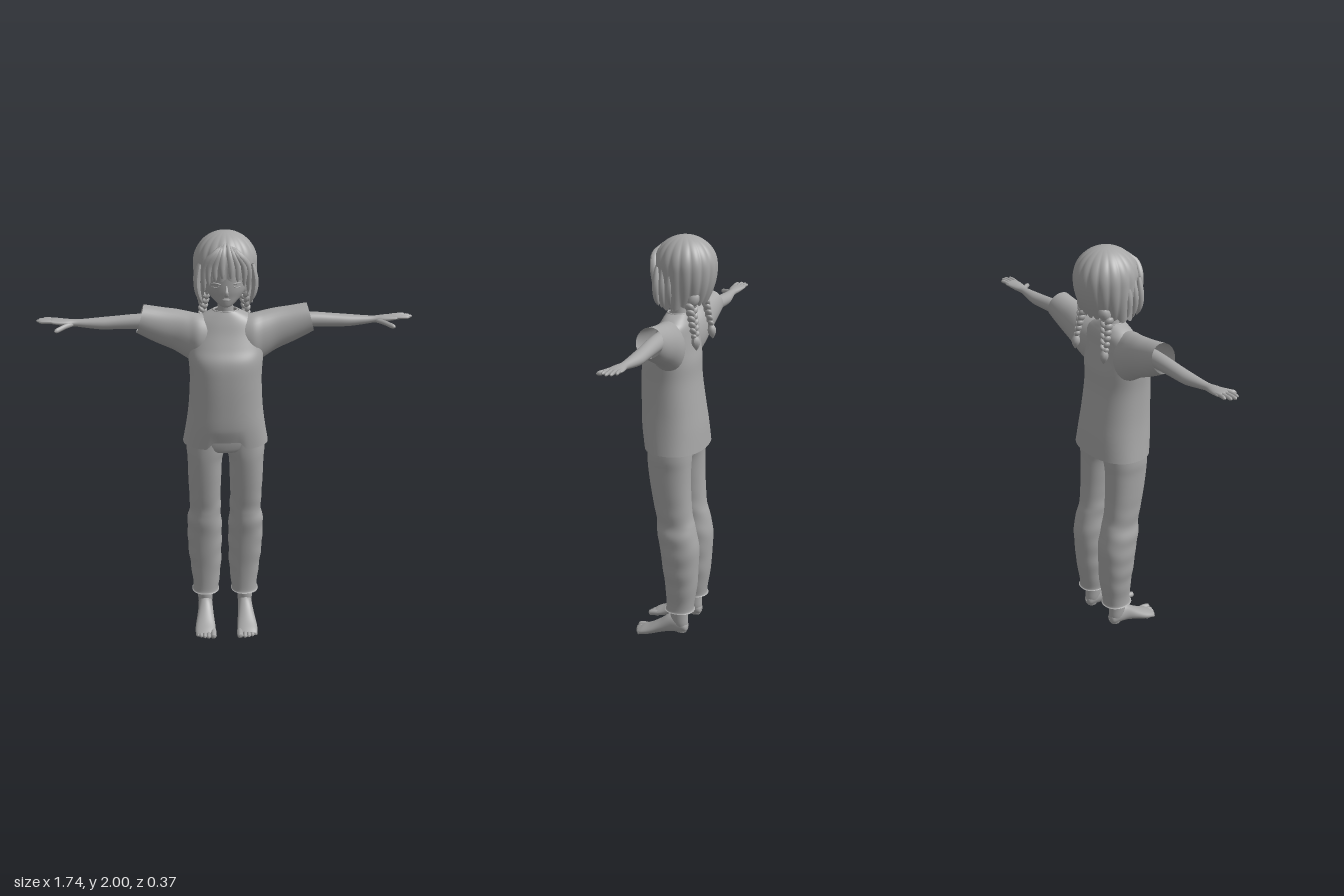
import * as THREE from 'three';

const grey = new THREE.MeshStandardMaterial({ color: 0xa6a6a6, side: THREE.DoubleSide });
grey.name = 'grey';

const V = (p) => new THREE.Vector3(...p);
const smooth = THREE.MathUtils.smoothstep;

function mesh(name, geometry, parent) {
  const m = new THREE.Mesh(geometry, grey);
  m.name = name;
  parent.add(m);
  return m;
}

// Smooth interpolation through rows of numbers
function sample(rows, t) {
  const f = t * (rows.length - 1), i = Math.min(Math.floor(f), rows.length - 2), k = f - i;
  const [p, a, b, q] = [rows[Math.max(i - 1, 0)], rows[i], rows[i + 1], rows[Math.min(i + 2, rows.length - 1)]];
  return a.map((v, c) => {
    const m0 = (b[c] - p[c]) / 2, m1 = (q[c] - v) / 2, d = b[c] - v;
    return v + k * (m0 + k * (3 * d - 2 * m0 - m1 + k * (m0 + m1 - 2 * d)));
  });
}

// Grid of points closed around j, open along i
function surface(n, seg, point) {
  const pos = [], idx = [];
  for (let i = 0; i <= n; i++) for (let j = 0; j < seg; j++) {
    pos.push(...point(i / n, (j / seg) * Math.PI * 2));
    if (i === n) continue;
    const a = i * seg + j, b = i * seg + (j + 1) % seg;
    idx.push(a, b, b + seg, a, b + seg, a + seg);
  }
  const g = new THREE.BufferGeometry();
  g.setAttribute('position', new THREE.Float32BufferAttribute(pos, 3));
  g.setIndex(idx);
  g.computeVertexNormals();
  return g;
}

// Rows by axis: y [y,cx,cz,rx,rz], x [x,cz,cy,rz,ry], z [z,cy,cx,ry,rx]
function loft(rows, { axis = 'y', seg = 32, power = 2, steps = 6, warp } = {}) {
  const e = 2 / power, pw = (v) => Math.sign(v) * Math.abs(v) ** e;
  return surface((rows.length - 1) * steps, seg, (t, a) => {
    const [h, cu, cw, ru, rw] = sample(rows, t);
    const u = cu + Math.max(ru, 0) * pw(Math.sin(a)), w = cw + Math.max(rw, 0) * pw(Math.cos(a));
    const p = axis === 'y' ? [u, h, w] : axis === 'x' ? [h, w, u] : [w, u, h];
    return warp ? warp(p) : p;
  });
}

// Tube along points with a radius that varies along its length
function taper(points, radius, n = 16, seg = 10) {
  const curve = new THREE.CatmullRomCurve3(points.map(V));
  const g = new THREE.TubeGeometry(curve, n, 1, seg);
  const p = g.attributes.position, v = new THREE.Vector3();
  for (let i = 0; i < p.count; i++) {
    const t = Math.floor(i / (seg + 1)) / n, c = curve.getPointAt(t);
    v.fromBufferAttribute(p, i).sub(c).multiplyScalar(radius(t)).add(c);
    p.setXYZ(i, v.x, v.y, v.z);
  }
  g.computeVertexNormals();
  return g;
}
const lock = (r) => (t) => r * Math.sqrt(Math.max(0.002, Math.sin(Math.PI * (0.06 + 0.94 * t))));
const finger = (r) => (t) => r * (t > 0.8 ? Math.sqrt(Math.max(0.001, 1 - ((t - 0.8) / 0.2) ** 2)) : 1);

function ball(name, parent, at, size) {
  const m = mesh(name, new THREE.SphereGeometry(1, 16, 12), parent);
  m.position.set(...at);
  m.scale.set(...size);
  return m;
}

function addHead(g) {
  mesh('face', loft([
    [1.672, 0, 0.068, 0.004, 0.004], [1.678, 0, 0.055, 0.025, 0.028], [1.695, 0, 0.03, 0.05, 0.058],
    [1.72, 0, 0.01, 0.075, 0.081], [1.75, 0, 0, 0.093, 0.096], [1.79, 0, -0.01, 0.102, 0.108],
    [1.84, 0, -0.025, 0.11, 0.122], [1.9, 0, -0.035, 0.1, 0.115], [1.95, 0, -0.04, 0.06, 0.07],
  ]), g);
  mesh('neck', loft([[1.58, 0, -0.015, 0.05, 0.045], [1.64, 0, -0.01, 0.037, 0.038], [1.72, 0, -0.005, 0.036, 0.04]]), g);
  mesh('nose', taper([[0, 1.785, 0.09], [0, 1.758, 0.102], [0, 1.744, 0.108], [0, 1.734, 0.092]], (t) => 0.004 + 0.007 * t, 12), g);
  ball('upperLip', g, [0, 1.715, 0.09], [0.019, 0.004, 0.007]);
  ball('lowerLip', g, [0, 1.707, 0.086], [0.015, 0.005, 0.007]);

  // Hair cap with strands running from the crown to a scalloped hem
  mesh('hairCap', surface(40, 144, (t, a) => {
    const front = smooth(Math.cos(a), 0.55, 0.85), back = smooth(-Math.cos(a), -0.2, 0.6);
    const strand = Math.abs(Math.sin(a * 9));
    const hem = 1.69 + 0.015 * back + 0.125 * front - 0.015 * strand;
    const v = 1 - t, low = Math.max(0, v - 0.5) * 2;
    const y = v < 0.5 ? 1.86 + 0.14 * Math.cos(v * Math.PI) : 1.86 + (hem - 1.86) * low;
    const drop = Math.max(0, 1.86 - y) / 0.18;
    let r = v < 0.5 ? Math.sin(v * Math.PI) : 1 - (0.1 + 0.28 * back) * drop * drop;
    r *= 1 + 0.04 * (strand - 0.7) * Math.min(1, v * 3);
    return [0.144 * r * Math.sin(a), y, -0.038 + 0.147 * r * Math.cos(a)];
  }), g);

  for (const s of [1, -1]) {
    const side = new THREE.Group();
    side.name = s > 0 ? 'leftHair' : 'rightHair';
    side.scale.x = s;
    g.add(side);
    // Fringe swept from the parting, then the locks framing the cheeks
    const fringe = [[0.018, 1.808, 0.105], [0.05, 1.795, 0.1], [0.08, 1.772, 0.083], [0.1, 1.74, 0.065]];
    fringe.forEach(([x, y, z], i) => mesh('fringeLock', taper([
      [0.004, 1.965 - i * 0.004, 0.045], [x * 0.45 + 0.006, 1.92, 0.085], [x * 0.9 + 0.004, 1.865, 0.1 - i * 0.007], [x, y, z],
    ], lock(0.017)), side));
    for (const [z, y] of [[0.055, 1.69], [0.025, 1.675], [-0.01, 1.67]])
      mesh('sideLock', taper([[0.118, 1.87, z], [0.131, 1.79, z], [0.124, 1.73, z], [0.108, y, z - 0.005]], lock(0.016)), side);
    // Closed eye and brow
    mesh('eyelid', taper([[0.024, 1.783, 0.095], [0.042, 1.788, 0.091], [0.06, 1.787, 0.083], [0.074, 1.78, 0.072]], lock(0.004)), side);
    mesh('lowerLash', taper([[0.03, 1.775, 0.093], [0.048, 1.768, 0.086], [0.066, 1.773, 0.076]], lock(0.0025)), side);
    ball('ear', side, [0.104, 1.765, -0.02], [0.012, 0.03, 0.02]);

    // Plait of paired overlapping lobes with a tied tuft
    const braid = new THREE.Group();
    braid.name = 'braid';
    side.add(braid);
    mesh('braidRoot', taper([[0.06, 1.76, -0.11], [0.078, 1.73, -0.105], [0.09, 1.69, -0.1]], lock(0.03)), braid);
    for (let i = 0; i < 6; i++) {
      const k = 1 - i * 0.07;
      for (const d of [1, -1]) {
        const b = ball('braidLobe', braid,
          [0.09 + i * 0.003 + d * 0.012 * k, 1.705 - i * 0.026 - (d > 0 ? 0.013 : 0), -0.1 - i * 0.005 + d * 0.003],
          [0.015 * k, 0.024 * k, 0.022 * k]);
        b.rotation.z = -d * 0.6;
      }
    }
    mesh('braidTuft', taper([[0.107, 1.565, -0.127], [0.108, 1.535, -0.13], [0.108, 1.5, -0.134]],
      (t) => 0.002 + 0.018 * Math.sin(Math.PI * (0.15 + 0.85 * t))), braid);
  }
}

function addShirt(g) {
  // Body with a raised notch at the front hem
  mesh('shirtBody', loft([
    [1.0, 0, -0.004, 0.202, 0.144], [1.1, 0, 0.008, 0.185, 0.148], [1.2, 0, 0.017, 0.173, 0.143],
    [1.33, 0, 0.026, 0.167, 0.134], [1.42, 0, 0.024, 0.172, 0.128], [1.48, 0, 0.013, 0.175, 0.107],
    [1.54, 0, 0.002, 0.168, 0.088], [1.59, 0, -0.005, 0.145, 0.075], [1.62, 0, -0.005, 0.105, 0.062], [1.642, 0, -0.004, 0.062, 0.05],
  ], {
    seg: 72, power: 2.3,
    warp: ([x, y, z]) => [x, z > 0 && y < 1.1 ? y + 0.037 * (1 - smooth(Math.abs(x), 0.06, 0.095)) * (1.1 - y) / 0.1 : y, z],
  }), g);
  const collar = mesh('collar', new THREE.TorusGeometry(0.056, 0.005, 8, 40), g);
  collar.rotation.x = Math.PI / 2;
  collar.scale.y = 0.85;
  collar.position.set(0, 1.641, -0.004);
}

function addArm(g) {
  // Sleeve with a slanted cuff
  mesh('sleeve', loft([
    [0.05, 0.005, 1.5, 0.07, 0.11], [0.12, 0.004, 1.502, 0.085, 0.122], [0.17, -0.008, 1.52, 0.08, 0.112],
    [0.23, -0.017, 1.546, 0.071, 0.096], [0.3, -0.02, 1.568, 0.066, 0.082], [0.392, -0.022, 1.598, 0.064, 0.065],
  ], { axis: 'x', warp: ([x, y, z]) => [x - (y - 1.598) * 0.27 * smooth(x, 0.15, 0.39), y, z] }), g);
  mesh('arm', loft([
    [0.2, -0.025, 1.57, 0.045, 0.045], [0.32, -0.028, 1.58, 0.038, 0.038], [0.41, -0.032, 1.581, 0.035, 0.035],
    [0.5, -0.034, 1.577, 0.033, 0.031], [0.57, -0.034, 1.574, 0.032, 0.028], [0.64, -0.031, 1.576, 0.024, 0.021],
    [0.69, -0.029, 1.579, 0.02, 0.016], [0.73, -0.029, 1.582, 0.029, 0.016], [0.77, -0.031, 1.586, 0.035, 0.013],
    [0.795, -0.033, 1.588, 0.033, 0.01], [0.805, -0.033, 1.589, 0.01, 0.004],
  ], { axis: 'x' }), g);
  [[-0.059, 0.838], [-0.043, 0.86], [-0.025, 0.868], [-0.007, 0.855]].forEach(([z, x]) =>
    mesh('finger', taper([[0.77, 1.588, z * 0.9 - 0.003], [0.815, 1.591, z], [x, 1.591, z * 1.1]], finger(0.0082), 14, 8), g));
  mesh('thumb', taper([[0.7, 1.576, -0.02], [0.733, 1.572, 0.008], [0.758, 1.566, 0.032], [0.778, 1.562, 0.055]], finger(0.0115), 14, 8), g);
}

function addLeg(g) {
  mesh('trouserLeg', loft([
    [0.168, 0.097, -0.05, 0.068, 0.075], [0.185, 0.096, -0.051, 0.063, 0.067], [0.3, 0.096, -0.057, 0.075, 0.078],
    [0.4, 0.1, -0.054, 0.082, 0.087], [0.5, 0.101, -0.05, 0.085, 0.095], [0.57, 0.102, -0.038, 0.083, 0.096],
    [0.62, 0.099, -0.031, 0.076, 0.092], [0.66, 0.098, -0.024, 0.076, 0.088], [0.72, 0.1, -0.015, 0.076, 0.091],
    [0.82, 0.1, -0.004, 0.08, 0.097], [0.91, 0.099, 0.002, 0.083, 0.103], [0.97, 0.094, 0.003, 0.092, 0.106], [1.05, 0.09, 0.003, 0.09, 0.106],
  ], {
    seg: 40, power: 2.2,
    // Soft cloth folds
    warp: ([x, y, z]) => {
      const k = 1 + 0.02 * Math.sin(y * 60 + x * 25) * (1 - smooth(y, 0.6, 0.85));
      return [0.099 + (x - 0.099) * k, y, z];
    },
  }), g);
  mesh('ankle', loft([
    [0.045, 0.1, -0.058, 0.022, 0.026], [0.09, 0.1, -0.054, 0.034, 0.038], [0.14, 0.1, -0.047, 0.037, 0.044], [0.24, 0.1, -0.05, 0.037, 0.04],
  ]), g);
  mesh('foot', loft([
    [-0.094, 0.075, 0.1, 0.004, 0.004], [-0.085, 0.075, 0.1, 0.026, 0.024], [-0.05, 0.087, 0.1, 0.045, 0.034],
    [0, 0.083, 0.1, 0.048, 0.036], [0.05, 0.059, 0.102, 0.036, 0.042], [0.1, 0.035, 0.104, 0.027, 0.049],
    [0.14, 0.022, 0.104, 0.02, 0.05], [0.16, 0.018, 0.104, 0.012, 0.043],
  ], { axis: 'z' }), g);
  [[0.066, 0.184, 0.015], [0.09, 0.184, 0.0105], [0.109, 0.179, 0.01], [0.127, 0.171, 0.0095], [0.144, 0.16, 0.009]].forEach(([x, z, r]) =>
    mesh('toe', taper([[x, 0.024, z - 0.05], [x, 0.021, z - 0.022], [x, r + 0.001, z]], finger(r), 14, 8), g));
}

export function createModel() {
  const model = new THREE.Group();
  model.name = 'girl';
  addHead(model);
  addShirt(model);
  // Hips joining the trouser legs
  mesh('trouserHips', loft([
    [0.962, 0, 0.002, 0.02, 0.06], [0.97, 0, 0.003, 0.1, 0.095], [1.0, 0, 0.003, 0.178, 0.107], [1.06, 0, 0.004, 0.178, 0.11], [1.15, 0, 0.01, 0.15, 0.1],
  ], { power: 2.4 }), model);
  for (const s of [1, -1]) {
    for (const [name, build] of [['Arm', addArm], ['Leg', addLeg]]) {
      const limb = new THREE.Group();
      limb.name = (s > 0 ? 'left' : 'right') + name;
      limb.scale.x = s;
      build(limb);
      model.add(limb);
    }
  }
  return model;
}
